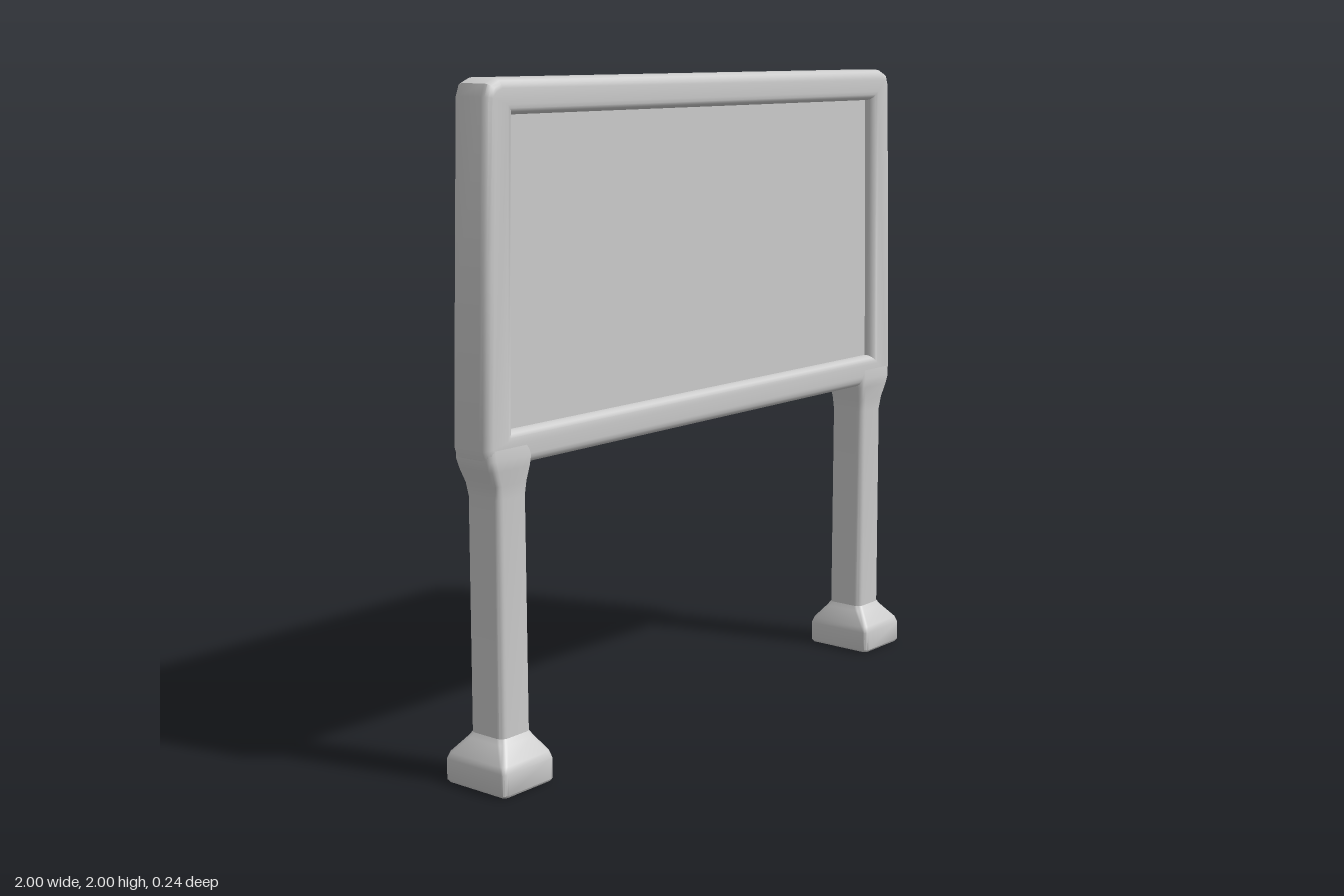
import * as THREE from 'three';
import { toCreasedNormals } from 'three/addons/utils/BufferGeometryUtils.js';

const grey = new THREE.MeshStandardMaterial({ color: 0xcccccc });
grey.name = 'plain grey';

function part(name, geometry, crease = 0.7) {
  const mesh = new THREE.Mesh(toCreasedNormals(geometry, crease), grey);
  mesh.name = name;
  return mesh;
}

// Points for the right half, mirrored into a closed outline
function mirrored(half) {
  return [...half, ...half.slice().reverse().map(([x, y]) => [-x, y])]
    .map(([x, y]) => new THREE.Vector2(x, y));
}

// Closed loft through rounded rectangles: [y, centre x, half x, half z, corner radius]
function loft(sections, steps = 4) {
  const positions = [], index = [], n = 4 * (steps + 1);
  for (const [y, cx, hx, hz, r] of sections) {
    for (let c = 0; c < 4; c++) {
      const sx = c === 0 || c === 3 ? 1 : -1, sz = c < 2 ? 1 : -1;
      for (let k = 0; k <= steps; k++) {
        const a = (c + k / steps) * Math.PI / 2;
        positions.push(cx + sx * (hx - r) + r * Math.cos(a), y, sz * (hz - r) + r * Math.sin(a));
      }
    }
  }
  for (let s = 0; s < sections.length - 1; s++) {
    for (let i = 0; i < n; i++) {
      const a = s * n + i, b = s * n + (i + 1) % n;
      index.push(a, a + n, b, b, a + n, b + n);
    }
  }
  // End caps
  const top = (sections.length - 1) * n;
  for (let i = 1; i < n - 1; i++) {
    index.push(0, i, i + 1, top, top + i + 1, top + i);
  }
  const geometry = new THREE.BufferGeometry();
  geometry.setAttribute('position', new THREE.Float32BufferAttribute(positions, 3));
  geometry.setIndex(index);
  return geometry;
}

export function createModel() {
  const group = new THREE.Group();
  group.name = 'signboard';

  // Slightly tapered frame with soft edges
  const outline = new THREE.Shape(mirrored([
    [0.95, 0.93], [0.985, 0.945], [1.0, 0.985], [0.985, 1.45], [0.968, 1.95], [0.955, 1.985], [0.92, 2.0],
  ]));
  outline.holes.push(new THREE.Path(mirrored([[0.885, 1.03], [0.865, 1.9]])));
  const bevel = 0.028;
  const frame = new THREE.ExtrudeGeometry(outline, {
    depth: 0.14 - 2 * bevel, bevelThickness: bevel, bevelSize: bevel, bevelOffset: -bevel, bevelSegments: 4,
  });
  frame.translate(0, 0, -0.07 + bevel);
  group.add(part('frame', frame));

  // Recessed board, visible from both sides
  const board = new THREE.BoxGeometry(1.82, 0.94, 0.07);
  board.translate(0, 1.465, 0);
  group.add(part('board', board));

  for (const side of [1, -1]) {
    const leg = new THREE.Group();
    leg.name = side > 0 ? 'leftLeg' : 'rightLeg';

    // Post flaring out into the frame corner
    leg.add(part('post', loft([
      [0.1, side * 0.89, 0.061, 0.065, 0.022],
      [0.84, side * 0.89, 0.061, 0.063, 0.022],
      [0.88, side * 0.892, 0.068, 0.066, 0.024],
      [0.925, side * 0.897, 0.083, 0.072, 0.026],
      [0.955, side * 0.9, 0.09, 0.074, 0.026],
      [1.0, side * 0.902, 0.088, 0.068, 0.026],
    ])));

    // Foot with sloping shoulders
    leg.add(part('foot', loft([
      [0, side * 0.897, 0.096, 0.113, 0.012],
      [0.008, side * 0.897, 0.102, 0.119, 0.014],
      [0.07, side * 0.897, 0.102, 0.119, 0.014],
      [0.09, side * 0.896, 0.098, 0.112, 0.018],
      [0.135, side * 0.891, 0.069, 0.075, 0.022],
      [0.15, side * 0.89, 0.061, 0.065, 0.022],
    ])));
    group.add(leg);
  }
  return group;
}
